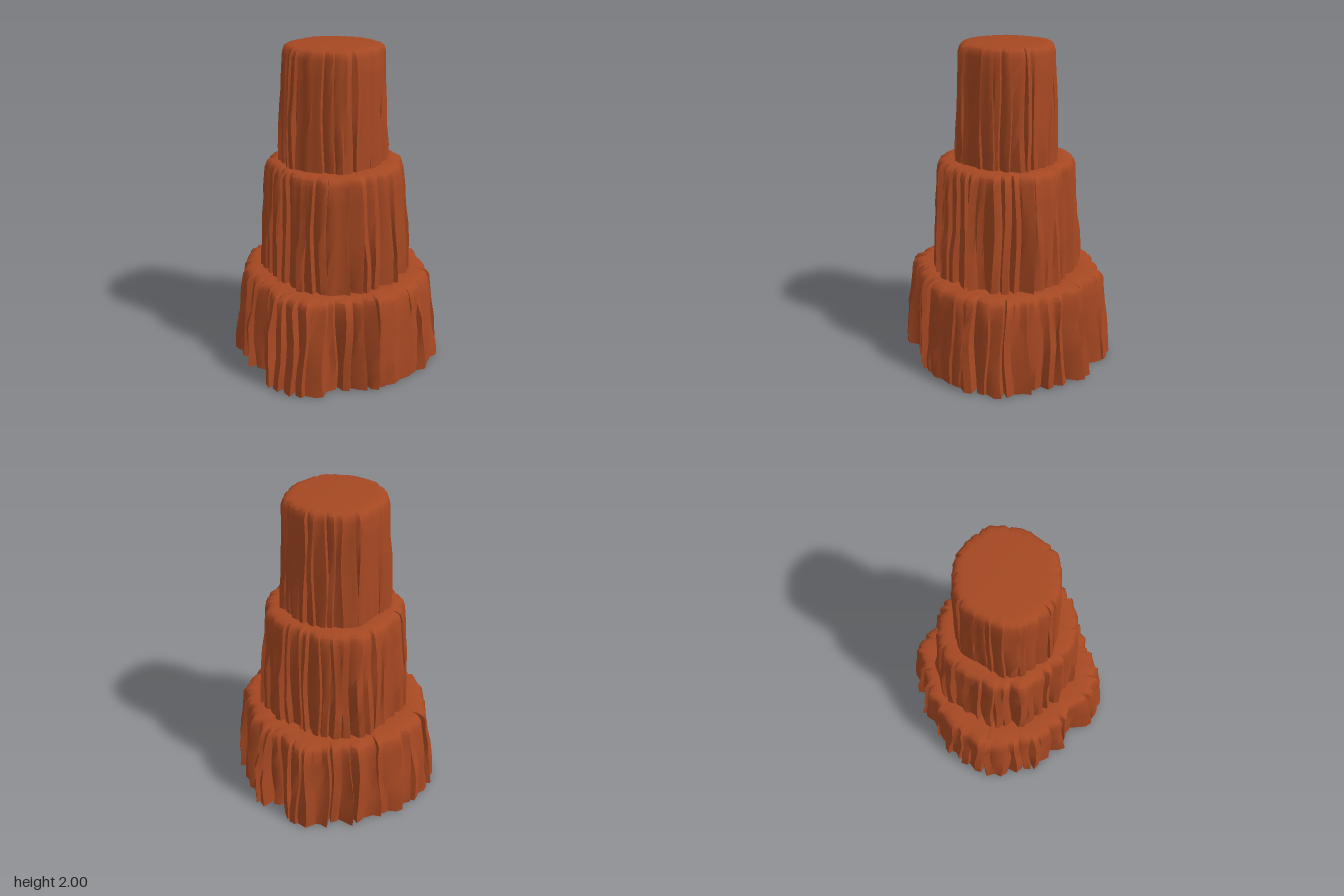
import * as THREE from 'three';
import { toCreasedNormals } from 'three/addons/utils/BufferGeometryUtils.js';

// Footprint radius of each tier every 10 degrees, from +x towards +z
const tiers = [
  { name: 'lowerRockTier', y0: 0, y1: 0.585, slabs: 46, crack: 0.045, top: 0.92, inset: 0.05, seed: 7,
    radii: [.62, .60, .64, .67, .66, .65, .64, .63, .63, .60, .63, .56, .66, .69, .70, .66, .56, .61,
      .62, .64, .63, .64, .69, .69, .65, .65, .63, .59, .64, .60, .63, .68, .67, .57, .65, .64] },
  { name: 'middleRockTier', y0: 0.57, y1: 1.295, slabs: 40, crack: 0.032, top: 0.92, inset: 0.035, seed: 23,
    radii: [.46, .48, .45, .47, .46, .43, .48, .46, .45, .47, .47, .48, .47, .47, .46, .44, .44, .43,
      .43, .44, .49, .45, .47, .46, .45, .45, .46, .48, .48, .47, .45, .44, .44, .41, .44, .46] },
  { name: 'upperRockTier', y0: 1.28, y1: 2, slabs: 32, crack: 0.02, top: 0.93, inset: 0.03, seed: 41,
    radii: [.32, .33, .32, .31, .30, .30, .30, .29, .30, .31, .33, .31, .31, .31, .32, .32, .33, .34,
      .34, .33, .35, .34, .34, .31, .31, .31, .33, .33, .33, .31, .30, .31, .31, .32, .31, .31] },
];

function seeded(seed) {
  let s = seed * 7919 + 13;
  return () => (s = (s * 16807) % 2147483647) / 2147483647;
}

// Radius of the footprint at any angle
function footprint(radii, a) {
  const f = (((a / (Math.PI * 2)) % 1 + 1) % 1) * radii.length;
  const i = Math.floor(f) % radii.length;
  return THREE.MathUtils.lerp(radii[i], radii[(i + 1) % radii.length], f - Math.floor(f));
}

// A tier is a ring of upright rock slabs parted by cracks, under a rounded flat cap
function tierGeometry({ y0, y1, slabs, crack, top, inset, seed, radii }) {
  const rnd = seeded(seed);
  const mean = radii.reduce((s, r) => s + r, 0) / radii.length;
  const step = (Math.PI * 2) / slabs;
  const levels = [0, 0.14, 0.3, 0.46, 0.62, 0.78, 0.93];

  // Each slab gives three columns: the crack, its near shoulder and its far shoulder
  const columns = [];
  for (let k = 0; k < slabs; k++) {
    const start = (k + (rnd() - 0.5) * 0.5) * step;
    const phase = rnd() * 6.28;
    const tilt = (rnd() - 0.5) * crack * 0.7;
    const chip = rnd() < 0.45 ? 0.2 + rnd() * 0.5 : -1;
    const depth = crack * (rnd() < 0.4 ? 1.3 : 0.45);
    const sway = (t) => Math.sin(phase + t * 5) * step * 0.13;
    const out = (t) => (t < chip ? crack * 0.25 : -crack * 0.2) + (rnd() - 0.5) * crack * 0.25;
    columns.push(
      { a: (t) => start + sway(t), d: (t) => -depth * (1 - t * 0.3) },
      { a: (t) => start + sway(t) + step * 0.14, d: (t) => out(t) + tilt },
      { a: (t) => start + sway(t) + step * 0.62, d: (t) => out(t) - tilt },
    );
  }

  // Wall rows from the foot up to the shoulder
  const rows = levels.map((t) => columns.map((c) => {
    const a = c.a(t);
    const base = THREE.MathUtils.lerp(footprint(radii, a), mean, t * 0.35);
    const taper = THREE.MathUtils.lerp(1, top, Math.pow(t, 1.4));
    return { a, r: base * taper + c.d(t), y: y0 + (y1 - y0) * t };
  }));

  // Rounded rim and cap rows, each drawn in from the shoulder
  const shoulder = rows[rows.length - 1];
  const drop = y1 - shoulder[0].y;
  for (const [pull, sink] of [[0.35, 0.3], [1, 0.04], [2, 0]]) {
    rows.push(shoulder.map((p) => ({
      a: p.a,
      r: THREE.MathUtils.lerp(p.r, mean * top - crack * 0.3, pull * 0.22) - inset * pull,
      y: y1 - drop * sink,
    })));
  }
  rows.push(shoulder.map((p) => ({ a: p.a, r: 0, y: y1 })));

  const n = columns.length;
  const positions = [];
  const index = [];
  rows.forEach((row) => row.forEach(({ a, r, y }) => positions.push(r * Math.cos(a), y, r * Math.sin(a))));
  for (let j = 0; j < rows.length - 1; j++) {
    for (let i = 0; i < n; i++) {
      const p = j * n + i;
      const q = j * n + (i + 1) % n;
      index.push(p, p + n, q);
      if (j < rows.length - 2) index.push(q, p + n, q + n);
    }
  }
  const geometry = new THREE.BufferGeometry();
  geometry.setAttribute('position', new THREE.Float32BufferAttribute(positions, 3));
  geometry.setIndex(index);
  return toCreasedNormals(geometry, 0.75);
}

export function createModel() {
  const group = new THREE.Group();
  group.name = 'steppedRockTower';
  const rock = new THREE.MeshStandardMaterial({ color: 0xa64822, side: THREE.DoubleSide });
  rock.name = 'redRock';
  for (const tier of tiers) {
    const mesh = new THREE.Mesh(tierGeometry(tier), rock);
    mesh.name = tier.name;
    group.add(mesh);
  }
  return group;
}
